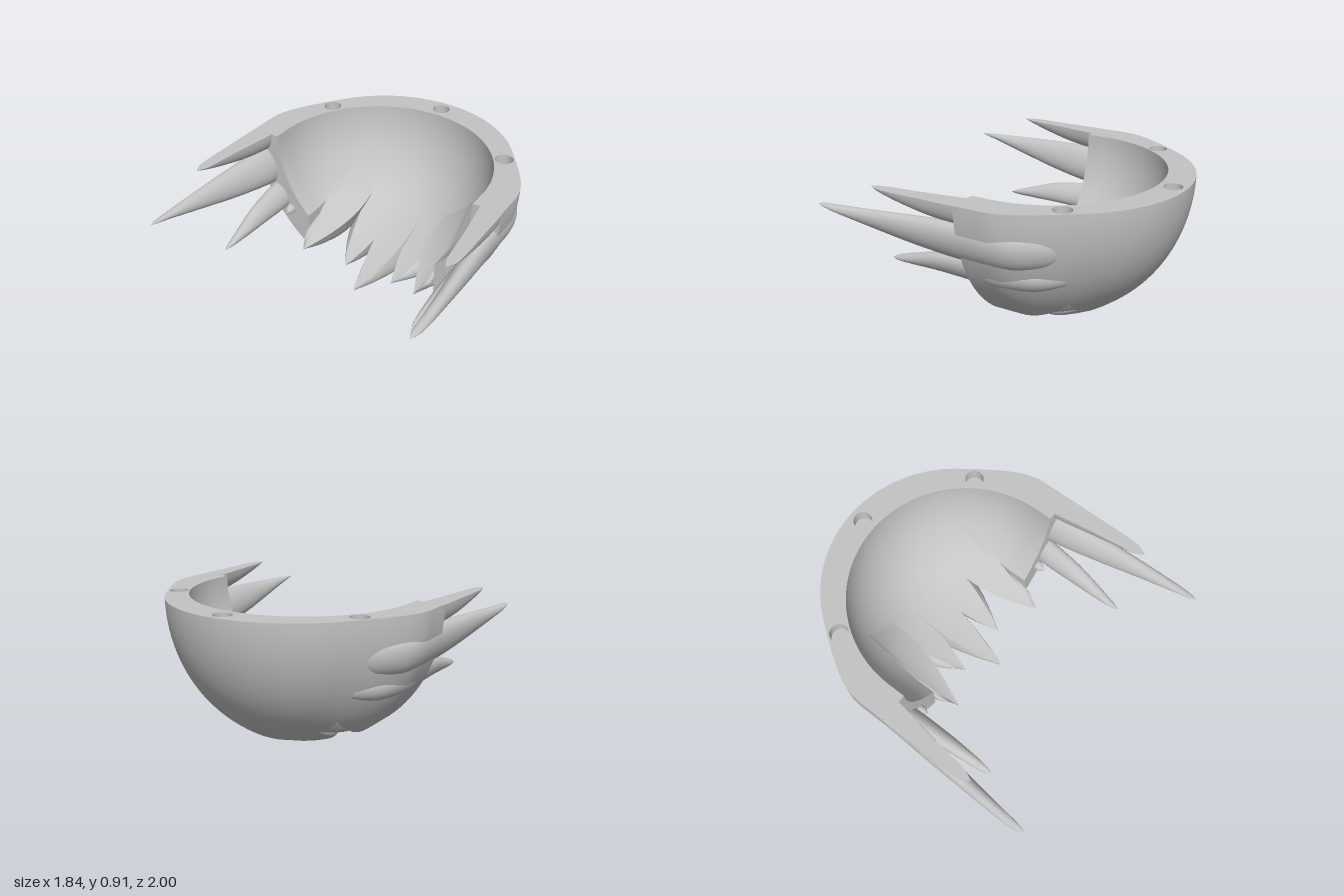
import * as THREE from 'three';
import { toCreasedNormals } from 'three/addons/utils/BufferGeometryUtils.js';

const TOP = 0.92;          // rim height
const GAP = 0.49;          // half width of the opening in the floor
const BACK = -0.51;        // where that opening ends
const { sqrt, sin, cos, acos, PI, pow, max, min, abs, sign } = Math;
const range = (n, f) => Array.from({ length: n + 1 }, (_, i) => f(i / n));
const { lerp, clamp, smoothstep } = THREE.MathUtils;

// Radii [x, y] of the outer and inner shell at depth z
function outer(z) {
  const k = z < -0.2 ? sqrt(max(0, 1 - ((z + 0.2) / 0.8) ** 2)) : 1;
  const s = smoothstep(z, -0.68, -0.17);
  return [0.8 * k * (1 + 0.125 * s), 0.91 * k * (1 + 0.045 * s)];
}
function inner(z) {
  const r = z < -0.11 ? sqrt(max(0, 0.715 ** 2 - (z + 0.11) ** 2)) : 0.715;
  return [r, r * 1.05];
}
const onShell = ([rx, ry], t, z) => [rx * cos(t), TOP - ry * sin(t), z];
const endAngle = (shell, z) => acos(GAP / shell(z)[0]);

// Surface through equally long rows of points
function loft(rows) {
  const n = rows[0].length, index = [];
  for (let i = 0; i < rows.length - 1; i++)
    for (let j = 0; j < n - 1; j++) {
      const a = i * n + j, b = a + n;
      index.push(a, b, a + 1, b, b + 1, a + 1);
    }
  const g = new THREE.BufferGeometry();
  g.setAttribute('position', new THREE.Float32BufferAttribute(rows.flat(2), 3));
  g.setIndex(index);
  return toCreasedNormals(g, 0.8);
}

export function createModel() {
  const root = new THREE.Group();
  const grey = new THREE.MeshStandardMaterial({ color: 0xc4c4c4, side: THREE.DoubleSide });
  grey.name = 'plain grey';
  const add = (name, geometry) => {
    const m = new THREE.Mesh(geometry, grey);
    m.name = name;
    root.add(m);
    return m;
  };
  const mirrorX = (rows, s) => rows.map(r => r.map(([x, y, z]) => [s * x, y, z]));

  // Closed back half of the bowl; its angles line up with the side walls
  const outerZ = range(28, u => -0.2 - 0.8 * cos(u * acos(0.31 / 0.8)));
  const innerZ = range(24, u => -0.11 - 0.715 * cos(u * acos(0.4 / 0.715)));
  const backAngles = shell => {
    const e = endAngle(shell, BACK);
    return [...range(24, u => u * e), ...range(32, u => lerp(e, PI - e, u)).slice(1, -1),
      ...range(24, u => PI - e + u * e)];
  };
  const backRows = (shell, zs) => zs.map(z => backAngles(shell).map(t => onShell(shell(z), t, z)));
  const backOuter = backRows(outer, outerZ), backInner = backRows(inner, innerZ);
  add('backOuterShell', loft(backOuter));
  add('backInnerShell', loft(backInner));

  // Step at the back of the floor opening
  add('floorStep', loft([backOuter.at(-1).slice(24, 57), backInner.at(-1).slice(24, 57)]));

  // Side walls running forward on both sides of the opening
  const sideZ = range(24, u => lerp(BACK, 0, u));
  const arc = (shell, z) => range(24, u => onShell(shell(z), u * endAngle(shell, z), z));
  for (const s of [1, -1]) {
    const side = s > 0 ? 'left' : 'right';
    const out = sideZ.map(z => arc(outer, z)), inn = sideZ.map(z => arc(inner, z));
    add(side + 'OuterWall', loft(mirrorX(out, s)));
    add(side + 'InnerWall', loft(mirrorX(inn, s)));
    add(side + 'CutFace', loft(mirrorX(out.map((r, i) => [r[24], inn[i][24]]), s)));
    add(side + 'FrontFace', loft(mirrorX([out[24], inn[24]], s)));
  }

  // Flat rim with three round sockets
  const zo = range(40, u => -0.2 - 0.8 * sin(u * PI / 2));
  const zi = range(40, u => -0.11 - 0.715 * sin(u * PI / 2));
  const half = (shell, list) => [0, ...list].map(z => new THREE.Vector2(shell(z)[0], -z));
  const wrap = pts => [...pts, ...pts.slice(0, -1).reverse().map(p => new THREE.Vector2(-p.x, p.y))];
  const rim = new THREE.Shape([...wrap(half(outer, zo)), ...wrap(half(inner, zi)).reverse()]);
  for (const [x, z] of [[0, -0.913], [0.652, -0.545], [-0.652, -0.545]]) {
    rim.holes.push(new THREE.Path().absarc(x, -z, 0.058, 0, PI * 2, true));
    add('socketWall', new THREE.CylinderGeometry(0.058, 0.058, 0.08, 32, 1, true)).position.set(x, TOP - 0.04, z);
    add('socketFloor', new THREE.CircleGeometry(0.058, 32).rotateX(-PI / 2)).position.set(x, TOP - 0.08, z);
  }
  add('rim', new THREE.ShapeGeometry(rim, 16).rotateX(-PI / 2)).position.y = TOP;

  // Floor spikes: sloping top and rounded belly that starts flush with the bowl and ends in a point
  function floorSpike(name, a, b, tip, sag) {
    const mid = (a + b) / 2, h = (b - a) / 2, ri = inner(BACK), ro = outer(BACK);
    // side runs -1 to 1 across the spike, d runs from the top face to the belly
    const point = (u, side, d) => {
      const t = mid + h * side * (1 + 0.06 * d);
      const x = sin(t) * lerp(ri[0], ro[0], d), y = TOP - cos(t) * lerp(ri[1], ro[1], d);
      const sx = (1 - u * u) * (1 + 0.8 * u * (1 - u));
      const sy = lerp(pow(1 - u, 1.2), sqrt(1 - u), d);
      return [clamp(lerp(tip[0], x, sx), -GAP, GAP),
        lerp(tip[1], y, sy) - d * sag * sin(u * PI), lerp(BACK, tip[2], u)];
    };
    add(name + 'Top', loft(range(24, u => range(8, w => point(u, 1 - 2 * w, 0)))));
    add(name + 'Belly', loft(range(24, u => {
      const e = lerp(0.12, 0.55, min(1, u * 1.6));
      return range(32, w => {
        const c = cos(w * PI);
        return point(u, sign(c) * pow(abs(c), e), pow(max(0, sin(w * PI)), e));
      });
    })));
  }
  floorSpike('centreFloorSpike', -0.17, 0.17, [0, 0.07, 0.19], 0.065);
  for (const s of [1, -1]) {
    const span = (a, b) => s > 0 ? [a, b] : [-b, -a];
    floorSpike('middleFloorSpike', ...span(0.17, 0.514), [s * 0.18, 0.09, 0.02], 0.07);
    floorSpike('outerFloorSpike', ...span(0.514, 0.98), [s * 0.43, 0.21, 0.155], 0.1);
  }

  // Side spikes: tilted oval sections [z, x, y, half thickness, half height]
  const sideSpikes = {
    upperSideSpike: { tilt: 0, path: [[-0.42, 0.765, 0.92, 0.03, 0.09], [-0.28, 0.81, 0.92, 0.07, 0.13],
      [0, 0.832, 0.92, 0.07, 0.13], [0.2, 0.848, 0.92, 0.055, 0.11],
      [0.4, 0.862, 0.92, 0.043, 0.065], [0.53, 0.868, 0.92, 0.032, 0.025], [0.6, 0.868, 0.92, 0.002, 0.002]] },
    longSideSpike: { tilt: 0.3, path: [[-0.58, 0.635, 0.68, 0.035, 0.06], [-0.45, 0.735, 0.675, 0.055, 0.1],
      [-0.28, 0.805, 0.672, 0.066, 0.12], [0, 0.81, 0.675, 0.07, 0.128], [0.3, 0.838, 0.69, 0.058, 0.102],
      [0.6, 0.867, 0.712, 0.042, 0.062], [0.85, 0.888, 0.732, 0.03, 0.025], [0.96, 0.892, 0.741, 0.018, 0.009],
      [1, 0.892, 0.744, 0.001, 0.001]] },
    lowerSideSpike: { tilt: 0.5, path: [[-0.55, 0.59, 0.48, 0.03, 0.045], [-0.4, 0.685, 0.475, 0.05, 0.075],
      [-0.2, 0.735, 0.472, 0.055, 0.085], [0, 0.717, 0.468, 0.055, 0.09], [0.25, 0.705, 0.455, 0.048, 0.07],
      [0.45, 0.695, 0.425, 0.036, 0.038], [0.57, 0.69, 0.405, 0.022, 0.015], [0.62, 0.69, 0.398, 0.001, 0.001]] },
    smallSideSpike: { tilt: 0.9, path: [[-0.1, 0.63, 0.39, 0.025, 0.03], [0, 0.63, 0.388, 0.025, 0.032],
      [0.04, 0.628, 0.384, 0.02, 0.022], [0.06, 0.627, 0.382, 0.001, 0.001]] },
  };
  const spline = pts => new THREE.CatmullRomCurve3(pts, false, 'catmullrom');
  for (const [name, { tilt, path }] of Object.entries(sideSpikes)) {
    const centre = spline(path.map(([z, x, y]) => new THREE.Vector3(x, y, z)));
    const size = spline(path.map(p => new THREE.Vector3(p[3], p[4], 0)));
    const rows = range((path.length - 1) * 4, v => {
      const c = centre.getPoint(v), r = size.getPoint(v);
      return range(28, u => {
        const p = r.x * cos(u * PI * 2), q = r.y * sin(u * PI * 2);
        return [c.x + p * cos(tilt) + q * sin(tilt),
          min(TOP - 0.001, c.y - p * sin(tilt) + q * cos(tilt)), c.z];
      });
    });
    for (const s of [1, -1]) add((s > 0 ? 'left ' : 'right ') + name, loft(mirrorX(rows, s)));
  }
  return root;
}
